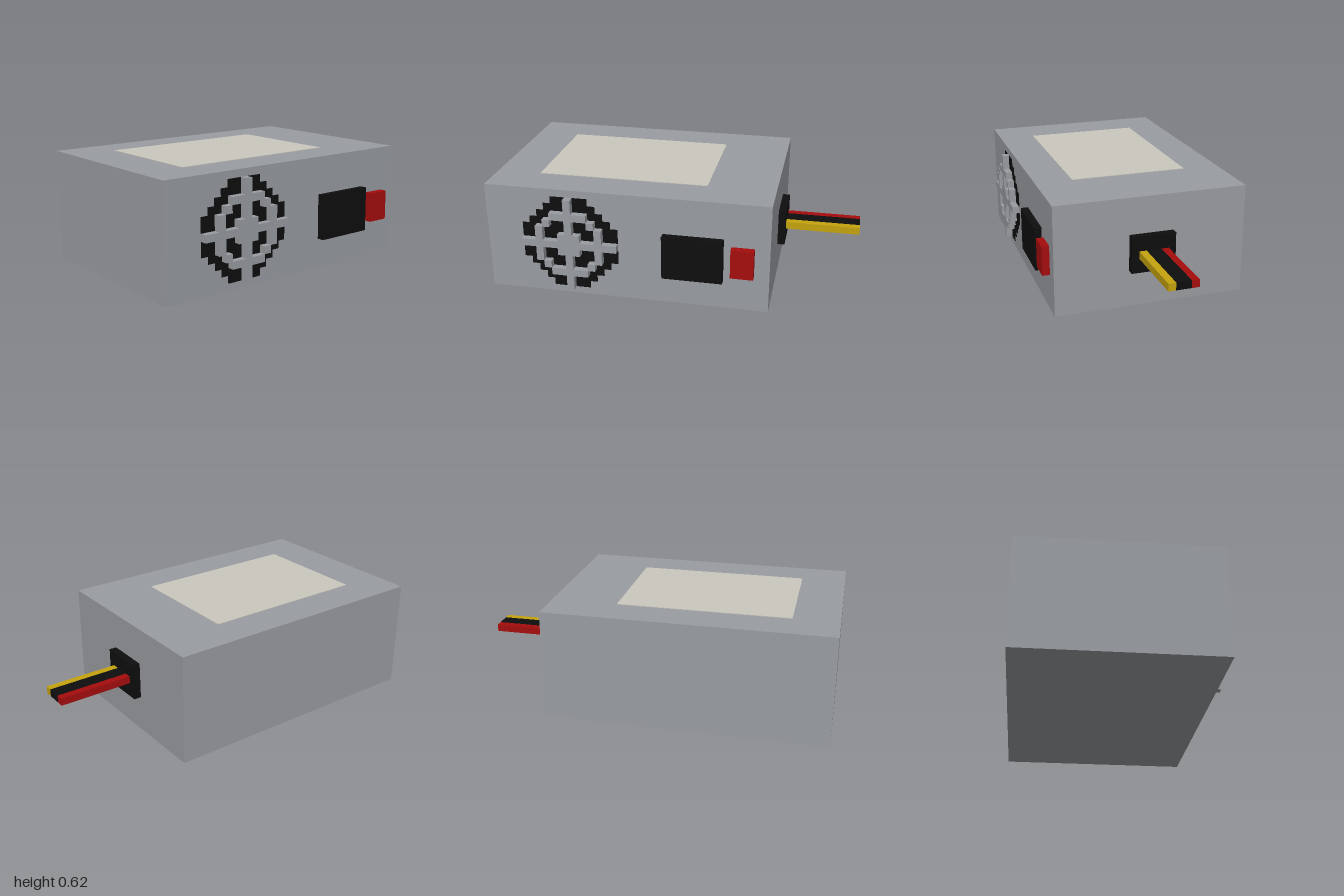
import * as THREE from 'three';
import { mergeGeometries } from 'three/addons/utils/BufferGeometryUtils.js';

// Everything sits on a grid of small cubes, 49 along the longest side
const U = 2 / 49;
const THIN = 0.08; // thickness of painted plates, in grid cells

const mat = (name, color) => {
  const m = new THREE.MeshStandardMaterial({ color });
  m.name = name;
  return m;
};

// Box between two grid corners
function cellBox([x0, y0, z0], [x1, y1, z1]) {
  const g = new THREE.BoxGeometry((x1 - x0) * U, (y1 - y0) * U, (z1 - z0) * U);
  g.translate(((x0 + x1) / 2 - 24.5) * U, ((y0 + y1) / 2) * U, ((z0 + z1) / 2 - 13.5) * U);
  return g;
}

// Fan pattern measured from its centre cell
function fanCell(dx, dy) {
  const a = Math.abs(dx), b = Math.abs(dy), sum = a + b;
  if (a === 0 || b === 0) return 'guard';                   // cross bars
  if (sum > 8) return 'none';                               // cut corners
  if (a <= 1 && b <= 1) return 'guard';                     // hub
  if (Math.max(a, b) === 4 && sum <= 6) return 'guard';     // ring sides
  if (a === 3 && b === 3) return 'guard';                   // ring corners
  return 'opening';
}

// Collects horizontal runs of one kind of fan cell as boxes
function fanGeometry(kind, depth) {
  const boxes = [];
  for (let dy = -6; dy <= 6; dy++) {
    let start = null;
    for (let dx = -6; dx <= 7; dx++) {
      const hit = dx <= 6 && fanCell(dx, dy) === kind;
      if (hit && start === null) start = dx;
      if (!hit && start !== null) {
        boxes.push(cellBox([11 + start, 7 + dy, 26], [11 + dx, 8 + dy, 26 + depth]));
        start = null;
      }
    }
  }
  return mergeGeometries(boxes);
}

export function createModel() {
  const grey = mat('caseGrey', 0x999ca1);
  const black = mat('black', 0x0e0e0e);
  const red = mat('red', 0xa60d0d);
  const yellow = mat('yellow', 0xc4a30e);
  const cream = mat('labelCream', 0xcac7be);

  const model = new THREE.Group();
  model.name = 'powerSupply';
  const add = (name, geometry, material) => {
    const mesh = new THREE.Mesh(geometry, material);
    mesh.name = name;
    model.add(mesh);
  };

  // Case and top label
  add('case', cellBox([0, 0, 0], [38, 15, 26]), grey);
  add('topLabel', cellBox([6, 15, 5], [29, 15 + THIN, 21]), cream);

  // Fan: flat dark openings behind a raised guard
  add('fanOpenings', fanGeometry('opening', THIN), black);
  add('fanGuard', fanGeometry('guard', 1), grey);

  // Mains socket and switch
  add('powerSocket', cellBox([24, 4, 26], [32, 10, 27]), black);
  add('powerSwitch', cellBox([33, 5, 26], [36, 9, 27]), red);

  // Cable outlet and wires
  add('cableOutlet', cellBox([38, 5, 10], [39, 10, 16]), black);
  add('redWire', cellBox([39, 7, 11], [49, 8, 12]), red);
  add('blackWires', cellBox([39, 7, 12], [49, 8, 14]), black);
  add('yellowWire', cellBox([39, 7, 14], [49, 8, 15]), yellow);

  return model;
}
